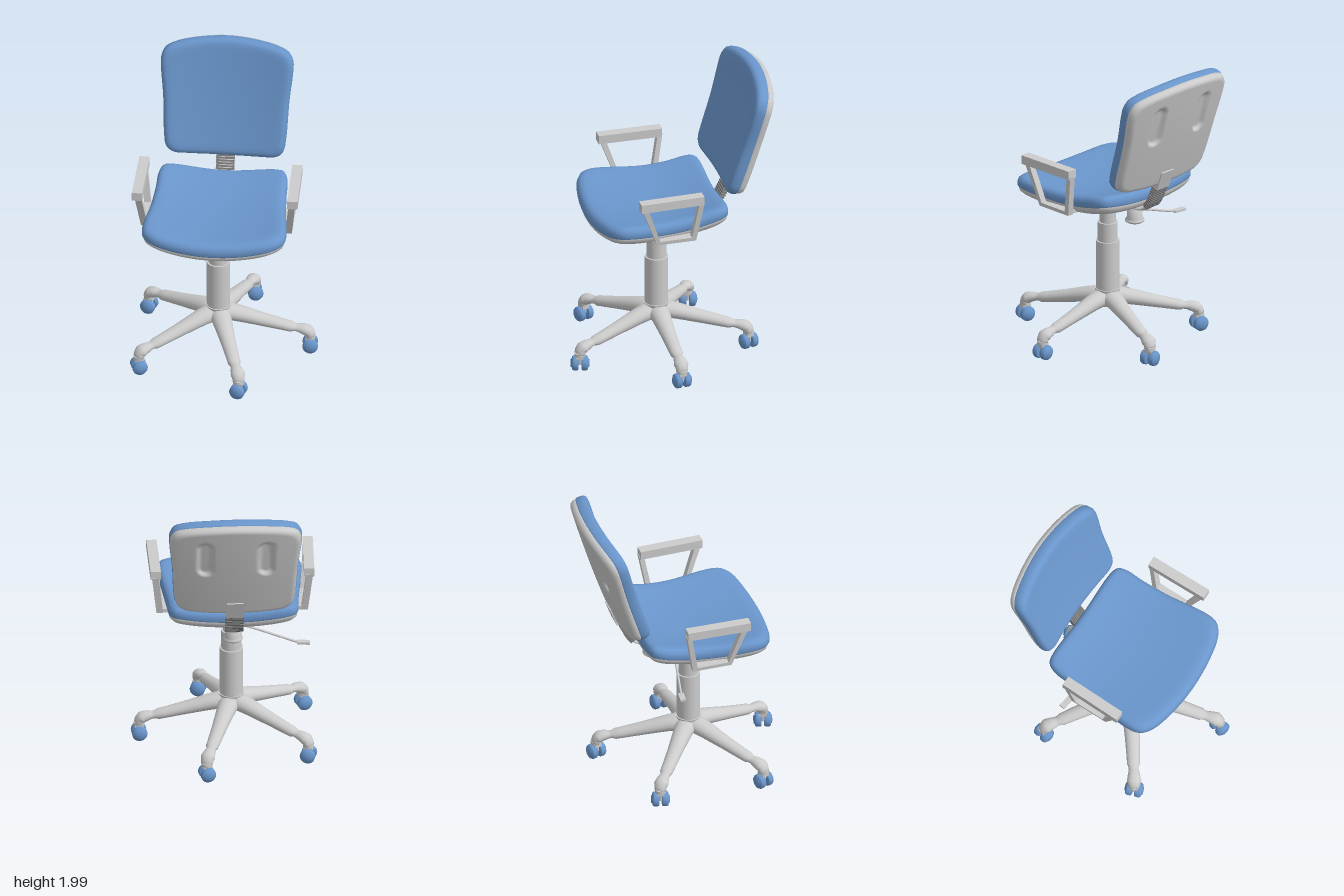
import * as THREE from 'three';

const grey = new THREE.MeshStandardMaterial({ color: 0xcccccc });
const dark = new THREE.MeshStandardMaterial({ color: 0x7c7c7c });
const blue = new THREE.MeshStandardMaterial({ color: 0x6a96cc });
const V = (x, y, z = 0) => new THREE.Vector3(x, y, z);

function add(parent, name, geometry, material, x = 0, y = 0, z = 0) {
  const mesh = new THREE.Mesh(geometry, material);
  mesh.name = name;
  mesh.position.set(x, y, z);
  parent.add(mesh);
  return mesh;
}

// Smooth skin over rings that run counter-clockwise about the direction of travel
function skin(rings) {
  const n = rings[0].length, index = [];
  for (let i = 0; i < rings.length - 1; i++) {
    for (let j = 0; j < n; j++) {
      const k = (j + 1) % n, a = i * n, b = a + n;
      index.push(a + j, a + k, b + k, a + j, b + k, b + j);
    }
  }
  const geometry = new THREE.BufferGeometry().setFromPoints(rings.flat());
  geometry.setIndex(index);
  geometry.computeVertexNormals();
  return geometry;
}

// Closed symmetric outline from its right half, listed bottom to top
function outline(half) {
  const left = half.slice(1, -1).reverse().map(([x, y]) => [-x, y]);
  const points = [...half, ...left].map(([x, y]) => V(x, y));
  return new THREE.CatmullRomCurve3(points, true).getSpacedPoints(144).slice(0, -1);
}

// Padded slab: edge lists [scale, height] from underside to top, map bends it
function pad(points, centre, edge, map, capRings = 14) {
  const first = edge[0], last = edge[edge.length - 1], profile = [];
  for (let i = 0; i < capRings; i++) profile.push([Math.max(0.002, first[0] * i / capRings), first[1]]);
  profile.push(...edge);
  for (let i = capRings - 1; i >= 0; i--) profile.push([Math.max(0.002, last[0] * i / capRings), last[1]]);
  return skin(profile.map(([s, h]) => points.map(p => map(p.x * s, centre + (p.y - centre) * s, h))));
}

// Oval bar swept along a path in the xy plane; each entry is [x, y, halfWidth, halfHeight]
function sweep(path, steps = 24, sides = 20) {
  const line = new THREE.CatmullRomCurve3(path.map(p => V(p[0], p[1])));
  const size = new THREE.CatmullRomCurve3(path.map(p => V(p[2], p[3])));
  const ring = (t, k) => {
    const p = line.getPoint(t), d = line.getTangent(t), s = size.getPoint(t);
    return Array.from({ length: sides }, (_, j) => {
      const a = j / sides * Math.PI * 2, h = Math.cos(a) * s.y * k;
      return V(p.x - d.y * h, p.y + d.x * h, Math.sin(a) * s.x * k);
    });
  };
  const rings = [ring(0, 0.01)];
  for (let i = 0; i <= steps; i++) rings.push(ring(i / steps, 1));
  rings.push(ring(1, 0.7), ring(1, 0.01));
  return skin(rings);
}

function makeCaster() {
  const caster = new THREE.Group();
  caster.name = 'caster';
  const profile = [[0, -0.024], [0.044, -0.024], [0.05, -0.015], [0.05, 0.008], [0.044, 0.018], [0.028, 0.022], [0.026, 0.028], [0, 0.03]];
  const wheel = new THREE.LatheGeometry(profile.map(p => new THREE.Vector2(...p)), 28);
  for (const s of [1, -1]) add(caster, 'wheel', wheel, blue, 0, 0.05, s * 0.033).rotation.x = s * Math.PI / 2;
  add(caster, 'casterStem', new THREE.CylinderGeometry(0.024, 0.02, 0.09, 16), grey, 0, 0.09, 0);
  add(caster, 'casterCollar', new THREE.CylinderGeometry(0.036, 0.036, 0.02, 20), grey, 0, 0.115, 0);
  add(caster, 'casterFork', new THREE.BoxGeometry(0.06, 0.02, 0.05), grey, 0, 0.098, 0);
  return caster;
}

function makeBase() {
  const base = new THREE.Group();
  base.name = 'base';
  const legShape = sweep([[0, 0.275, 0.075, 0.055], [0.08, 0.273, 0.068, 0.055], [0.3, 0.222, 0.05, 0.042],
    [0.48, 0.18, 0.042, 0.034], [0.56, 0.166, 0.042, 0.034], [0.597, 0.148, 0.042, 0.034], [0.607, 0.12, 0.04, 0.033]]);
  const swivel = [0.05, -0.3, 0.3, -0.3, 0.2];
  swivel.forEach((turn, i) => {
    const a = (2 + 72 * i) * Math.PI / 180;
    add(base, 'leg', legShape, grey).rotation.y = -a;
    const caster = makeCaster();
    caster.position.set(Math.cos(a) * 0.605, 0, Math.sin(a) * 0.605);
    caster.rotation.y = turn;
    base.add(caster);
  });
  // hub and telescopic column
  for (const [name, r0, r1, y0, y1] of [['hub', 0.06, 0.085, 0.215, 0.335], ['columnCover', 0.077, 0.077, 0.33, 0.67],
    ['columnMiddle', 0.066, 0.066, 0.66, 0.8], ['columnTop', 0.053, 0.053, 0.79, 0.98]]) {
    add(base, name, new THREE.CylinderGeometry(r1, r0, y1 - y0, 36), grey, 0, (y0 + y1) / 2, 0);
  }
  return base;
}

function makeSeat() {
  const seat = new THREE.Group();
  seat.name = 'seat';
  const shape = outline([[0, -0.485], [0.25, -0.465], [0.4, -0.425], [0.46, -0.37], [0.474, -0.28], [0.445, 0],
    [0.43, 0.2], [0.425, 0.31], [0.4, 0.37], [0.34, 0.39], [0, 0.39]]);
  // dished across, rising toward the back
  const bend = (x, v, h) => {
    const t = v + 0.05;
    return V(x, 0.99 + h + 0.055 * (x / 0.45) ** 2 + (t > 0 ? 0.38 : 0.12) * t * t, -v);
  };
  add(seat, 'seatCushion', pad(shape, 0, [[0.96, 0], [0.985, 0.002], [1, 0.015], [1, 0.04], [0.985, 0.062],
    [0.95, 0.08], [0.9, 0.089], [0.83, 0.092]], bend), blue);
  add(seat, 'seatShell', pad(shape, 0, [[0.86, -0.04], [0.93, -0.034], [0.975, -0.018], [0.99, 0.006], [0.97, 0.008]], bend), grey);
  return seat;
}

function makeBackrest() {
  const back = new THREE.Group();
  back.name = 'backrest';
  const shape = outline([[0, 1.213], [0.25, 1.22], [0.34, 1.232], [0.385, 1.27], [0.4, 1.34], [0.415, 1.6], [0.435, 1.8],
    [0.433, 1.87], [0.405, 1.92], [0.34, 1.948], [0.2, 1.972], [0, 1.985]]);
  // leaning back, curved around the sitter, with two pressed grooves in the rear
  const bend = (x, v, h) => {
    const t = v - 1.25;
    const d = Math.hypot(Math.abs(x) - 0.2, Math.max(0, Math.abs(v - 1.72) - 0.09));
    const groove = h < -0.055 ? 0.025 * (1 - THREE.MathUtils.smoothstep(d, 0.03, 0.06)) : 0;
    return V(x, v + h * 0.3, -0.465 - 0.36 * t + 0.07 * t * t + 0.05 * (x / 0.43) ** 2 + h + groove);
  };
  add(back, 'backCushion', pad(shape, 1.6, [[0.95, -0.022], [0.985, -0.02], [1, -0.01], [1, 0.018], [0.985, 0.04],
    [0.955, 0.054], [0.91, 0.06], [0.85, 0.062]], bend), blue);
  add(back, 'backShell', pad(shape, 1.6, [[0.93, -0.06], [0.965, -0.053], [0.985, -0.036], [0.99, -0.016], [0.96, -0.014]], bend, 32), grey);

  // ribbed support strap and mounting plate
  const path = [[0.2, 0.975], [0.36, 0.995], [0.425, 1.06], [0.475, 1.16], [0.52, 1.25]];
  add(back, 'supportStrap', sweep(path.map(p => [...p, 0.05, 0.014])), grey).rotation.y = Math.PI / 2;
  const curve = new THREE.CatmullRomCurve3(path.map(([z, y]) => V(0, y, -z)));
  for (let i = 0; i < 11; i++) {
    const t = 0.4 + i * 0.04, p = curve.getPoint(t), d = curve.getTangent(t);
    add(back, 'supportRib', new THREE.BoxGeometry(0.12, 0.011, 0.036), dark, p.x, p.y, p.z).rotation.x = Math.atan2(d.z, d.y);
  }
  add(back, 'mountingPlate', new THREE.BoxGeometry(0.11, 0.14, 0.03), grey, 0, 1.245, -0.522).rotation.x = -0.35;
  return back;
}

function makeArmrest(side) {
  const arm = new THREE.Group();
  arm.name = side > 0 ? 'leftArmrest' : 'rightArmrest';
  // trapezoid frame, drawn in the zy plane and leaning outward
  const frame = new THREE.Shape([[-0.13, 1.01], [0.135, 1.01], [0.245, 1.3], [-0.18, 1.3]].map(p => new THREE.Vector2(...p)));
  frame.holes.push(new THREE.Path([[-0.1, 1.035], [-0.145, 1.285], [0.2, 1.285], [0.115, 1.035]].map(p => new THREE.Vector2(...p))));
  const g = new THREE.ExtrudeGeometry(frame, { depth: 0.044, bevelEnabled: false });
  g.translate(0, 0, -0.022).rotateY(-Math.PI / 2);
  const pos = g.attributes.position;
  for (let i = 0; i < pos.count; i++) pos.setX(i, pos.getX(i) + side * (0.475 + (pos.getY(i) - 1.01) * 0.11));
  g.computeVertexNormals();
  add(arm, 'armFrame', g, grey);
  add(arm, 'armPad', new THREE.BoxGeometry(0.068, 0.06, 0.43), grey, side * 0.508, 1.315, 0.04).rotation.y = side * 0.02;
  add(arm, 'armBracket', new THREE.BoxGeometry(0.09, 0.025, 0.24), grey, side * 0.44, 1.02, 0);
  return arm;
}

function makeControls() {
  const controls = new THREE.Group();
  controls.name = 'controls';
  add(controls, 'seatMount', new THREE.CylinderGeometry(0.07, 0.06, 0.03, 28), grey, 0, 0.955, 0);
  const knob = [[0, 0.868], [0.056, 0.868], [0.064, 0.876], [0.064, 0.885], [0.052, 0.897], [0.05, 0.99], [0, 0.99]];
  add(controls, 'tensionKnob', new THREE.LatheGeometry(knob.map(p => new THREE.Vector2(...p)), 32), grey, 0, 0, -0.25);
  // bent height lever with a flat handle
  const lever = new THREE.CurvePath();
  const bends = [V(-0.03, 0.96, -0.2), V(-0.18, 0.875, -0.145), V(-0.41, 0.807, -0.187), V(-0.49, 0.803, -0.2)];
  for (let i = 0; i < 3; i++) lever.add(new THREE.LineCurve3(bends[i], bends[i + 1]));
  add(controls, 'lever', new THREE.TubeGeometry(lever, 60, 0.008, 10), grey);
  add(controls, 'leverHandle', new THREE.BoxGeometry(0.085, 0.016, 0.038), grey, -0.465, 0.803, -0.197).rotation.y = -0.12;
  return controls;
}

export function createModel() {
  const chair = new THREE.Group();
  chair.name = 'officeChair';
  const upper = new THREE.Group();
  upper.name = 'swivellingUpperPart';
  upper.rotation.y = -0.038;
  upper.add(makeSeat(), makeBackrest(), makeArmrest(1), makeArmrest(-1), makeControls());
  chair.add(makeBase(), upper);
  for (const part of chair.children) part.position.set(-0.055, 0, 0.045);
  return chair;
}
